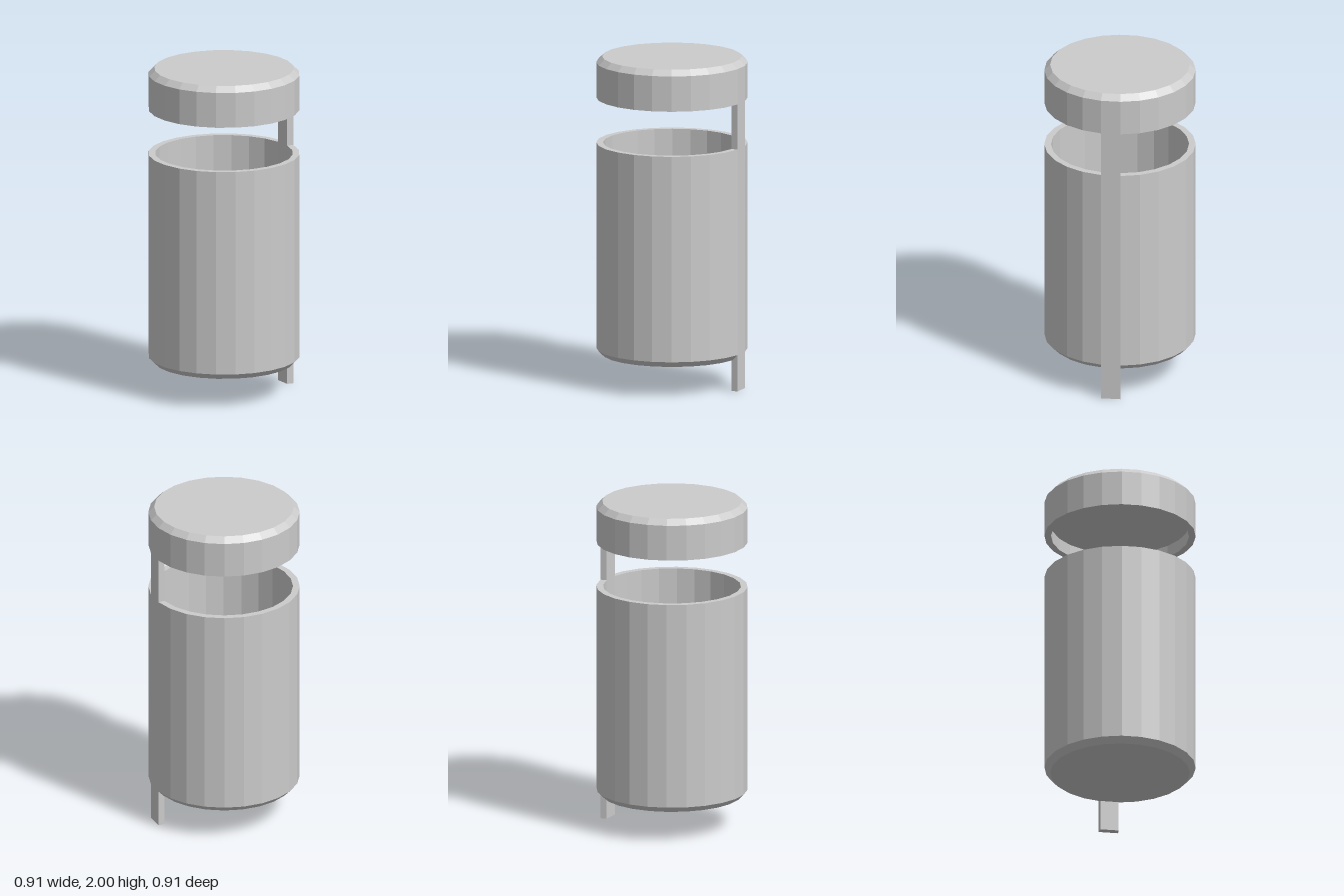
import * as THREE from 'three';

const SIDES = 24, OUTER = 0.453, INNER = 0.413, BEVEL = 0.418;
const material = new THREE.MeshStandardMaterial({ color: 0xcccccc, flatShading: true });

// Faceted round part from a [radius, height] profile
function turned(name, profile) {
  const points = profile.map(([r, y]) => new THREE.Vector2(r, y));
  const mesh = new THREE.Mesh(new THREE.LatheGeometry(points, SIDES), material);
  mesh.name = name;
  return mesh;
}

// One facet of the wall, running from height y0 to y1
function strip(name, y0, y1) {
  const a = -2 * Math.PI / SIDES, c = Math.cos(a), s = Math.sin(a);
  const shape = new THREE.Shape([
    new THREE.Vector2(INNER, 0), new THREE.Vector2(INNER * c, INNER * s),
    new THREE.Vector2(OUTER * c, OUTER * s), new THREE.Vector2(OUTER, 0),
  ]);
  const geometry = new THREE.ExtrudeGeometry(shape, { depth: y1 - y0, bevelEnabled: false });
  geometry.rotateX(-Math.PI / 2).translate(0, y0, 0);
  const mesh = new THREE.Mesh(geometry, material);
  mesh.name = name;
  return mesh;
}

export function createModel() {
  const model = new THREE.Group();
  model.name = 'canister';

  // Open cup with a bevelled base
  model.add(turned('body', [
    [0, 0.187], [BEVEL, 0.187], [OUTER, 0.222], [OUTER, 1.475],
    [INNER, 1.475], [INNER, 0.36], [0, 0.36],
  ]));

  // Bevelled cap with a shallow recess underneath
  model.add(turned('cap', [
    [0, 1.825], [INNER, 1.825], [INNER, 1.75], [OUTER, 1.75],
    [OUTER, 1.965], [BEVEL, 2], [0, 2],
  ]));

  // Narrow strip joining cap to body, and the leg below it
  model.add(strip('capSupport', 1.475, 1.75));
  model.add(strip('leg', 0, 0.222));

  return model;
}
